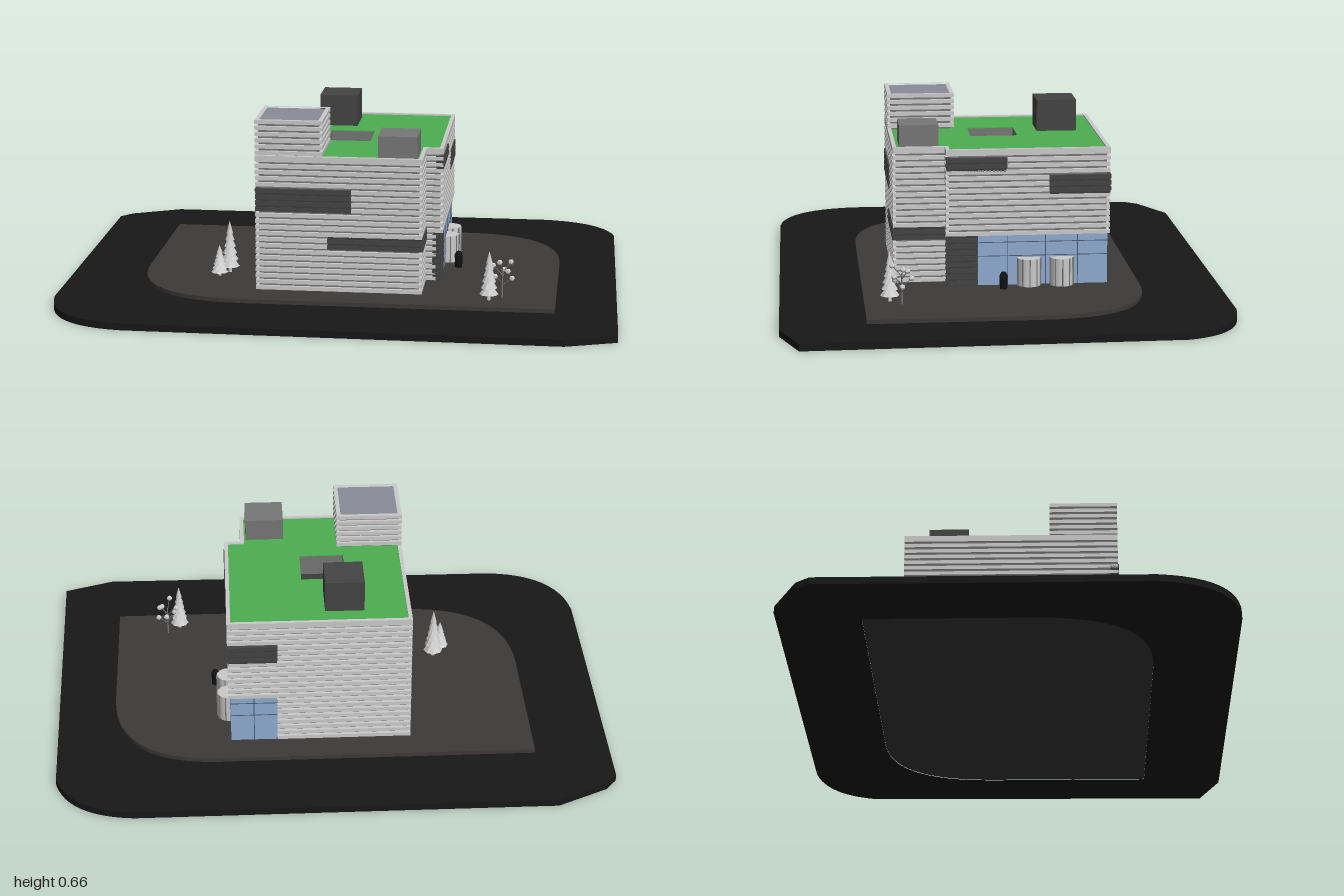
import * as THREE from 'three';

const mat = (color, opts = {}) => new THREE.MeshStandardMaterial({ color, ...opts });
const grey = mat(0xcccccc), core = mat(0x777777), dark = mat(0x3c3c3c), darker = mat(0x444444);
const mid = mat(0x777777), black = mat(0x111111), asphalt = mat(0x181818), paving = mat(0x3d3a39);
const grass = mat(0x4caf50), glass = mat(0x8fabd0), towerTop = mat(0x8a8d98), frame = mat(0x4a5a70);
const treeMat = mat(0xcccccc, { flatShading: true });

const BASE = 0.04, ROOF = 0.53, PITCH = 0.0223, SLAT = 0.0135;

export function createModel() {
  const model = new THREE.Group();

  const add = (name, geometry, material, parent = model) => {
    const mesh = new THREE.Mesh(geometry, material);
    mesh.name = name;
    parent.add(mesh);
    return mesh;
  };
  const group = (name) => {
    const g = new THREE.Group();
    g.name = name;
    model.add(g);
    return g;
  };
  // box given by its limits on each axis
  const box = (name, x0, x1, y0, y1, z0, z1, material, parent) => {
    const m = add(name, new THREE.BoxGeometry(x1 - x0, y1 - y0, z1 - z0), material, parent);
    m.position.set((x0 + x1) / 2, (y0 + y1) / 2, (z0 + z1) / 2);
    return m;
  };
  // ground-plan outline from [x, z] corners; a corner with four numbers is a curve [cx, cz, x, z]
  const trace = (path, pts) => {
    pts.forEach((p, i) => {
      if (i === 0) path.moveTo(p[0], -p[1]);
      else if (p.length === 4) path.quadraticCurveTo(p[0], -p[1], p[2], -p[3]);
      else path.lineTo(p[0], -p[1]);
    });
    path.closePath();
    return path;
  };
  const slab = (pts, y0, y1, holes = []) => {
    const shape = trace(new THREE.Shape(), pts);
    holes.forEach((h) => shape.holes.push(trace(new THREE.Path(), h)));
    return new THREE.ExtrudeGeometry(shape, { depth: y1 - y0, bevelEnabled: false, curveSegments: 12 })
      .rotateX(-Math.PI / 2).translate(0, y0, 0);
  };
  const rect = (x0, x1, z0, z1) => [[x0, z0], [x1, z0], [x1, z1], [x0, z1]];
  // building plan with the cut front corner, shrunk by d
  const plan = (d) => [
    [-0.29 + d, 0.375 - d], [0.305 - d, 0.375 - d], [0.305 - d, 0.19 - d],
    [0.365 - d, 0.19 - d], [0.365 - d, -0.395 + d], [-0.29 + d, -0.395 + d],
  ];

  // ground
  const walk = [[-0.73, -0.5], [0.4, -0.5], [0.78, -0.5, 0.78, -0.1], [0.78, 0.49],
    [-0.32, 0.49], [-0.73, 0.49, -0.73, 0.08]];
  const road = [[-1, -0.65], [-0.96, -0.7], [-0.78, -0.79], [0.7, -0.79], [0.93, -0.77, 0.98, -0.58],
    [1, 0.72], [0.82, 0.785], [-0.7, 0.775], [-0.97, 0.75, -1, 0.48]];
  add('road', slab(road, 0, 0.025, [walk]), asphalt);
  add('pavement', slab(walk, 0.002, BASE), paving);

  // main walls, with a sunken court in the roof
  const building = group('building');
  const court = rect(-0.07, 0.09, -0.09, 0.08);
  add('lowerWalls', slab(plan(0.012), BASE, 0.45), core, building);
  add('upperWalls', slab(plan(0.012), 0.45, ROOF - 0.003, [court]), core, building);
  add('grassRoof', slab(plan(0.013), ROOF - 0.003, ROOF, [court]), grass, building);
  box('courtFloor', -0.07, 0.09, 0.45, 0.452, -0.09, 0.08, dark, building);
  add('roofRim', slab(plan(0), ROOF - 0.008, ROOF + 0.005, [plan(0.014)]), grey, building);

  // cladding slats; the low ones leave the glazed corner free
  const lowPlan = [[-0.29, 0.375], [0.305, 0.375], [0.305, 0.19], [0.34, 0.19],
    [0.34, -0.37], [0.19, -0.37], [0.19, -0.395], [-0.29, -0.395]];
  const fullSlat = slab(plan(0), 0, SLAT, [plan(0.015)]);
  const lowSlat = slab(lowPlan, 0, SLAT);
  const slatY = (i) => BASE + 0.004 + i * PITCH;
  for (let i = 0; slatY(i) < ROOF - 0.015; i++) {
    const slat = add('slat', slatY(i) < 0.22 ? lowSlat : fullSlat, grey, building);
    slat.position.y = slatY(i);
  }

  // corner tower
  const tower = group('tower');
  const towerPlan = (d) => rect(-0.29 + d, -0.05 - d, 0.13 + d, 0.375 - d);
  add('towerCore', slab(towerPlan(0.012), ROOF, 0.655), core, tower);
  add('towerRoof', slab(towerPlan(0.012), 0.655, 0.659), towerTop, tower);
  const towerSlat = slab(towerPlan(0), 0, SLAT, [towerPlan(0.015)]);
  for (let i = 0; i < 6; i++) {
    add('towerSlat', towerSlat, grey, tower).position.y = ROOF + 0.008 + i * PITCH;
  }

  // roof houses
  box('backRoofHouse', -0.125, 0.015, ROOF, 0.645, -0.315, -0.17, darker);
  box('frontRoofHouse', 0.145, 0.285, ROOF, 0.61, 0.21, 0.35, mid);

  // dark louvred windows: a panel plus slightly proud slats
  const louvre = (x0, x1, y0, y1, z0, z1) => {
    const g = group('louvreWindow');
    box('panel', x0, x1, y0, y1, z0, z1, dark, g);
    for (let i = 0; slatY(i) < y1 - 0.005; i++) {
      if (slatY(i) < y0 - 0.006) continue;
      box('louvre', x0 - 0.003, x1 + 0.003, slatY(i) - 0.001, slatY(i) + SLAT + 0.001,
        z0 - 0.003, z1 + 0.003, darker, g);
    }
  };
  louvre(-0.287, 0.05, 0.335, 0.415, 0.35, 0.375);
  louvre(-0.03, 0.302, 0.205, 0.245, 0.35, 0.375);
  louvre(0.28, 0.305, 0.205, 0.245, 0.19, 0.372);
  louvre(0.34, 0.365, 0.455, 0.5, -0.025, 0.187);
  louvre(0.34, 0.365, 0.37, 0.43, -0.392, -0.18);
  louvre(0.19, 0.362, 0.37, 0.43, -0.395, -0.37);
  louvre(0.33, 0.358, BASE, 0.222, 0.08, 0.187);

  // glazed ground-floor corner with thin bars
  const glazing = group('glazing');
  box('sideGlass', 0.335, 0.357, BASE, 0.225, -0.387, 0.08, glass, glazing);
  box('backGlass', 0.19, 0.357, BASE, 0.225, -0.387, -0.36, glass, glazing);
  for (const z of [0.078, -0.03, -0.165, -0.28]) {
    box('sideBar', 0.355, 0.3585, BASE, 0.225, z - 0.0015, z + 0.0015, frame, glazing);
  }
  for (const y of [0.145, 0.195]) {
    box('sideRail', 0.355, 0.3585, y, y + 0.0025, -0.387, 0.08, frame, glazing);
    box('backRail', 0.19, 0.357, y, y + 0.0025, -0.3885, -0.385, frame, glazing);
  }
  box('backBar', 0.272, 0.275, BASE, 0.225, -0.3885, -0.385, frame, glazing);

  // rounded entrance porches with upright bars
  for (const z of [-0.105, -0.222]) {
    const porch = group('entrancePorch');
    porch.position.set(0.362, BASE, z);
    add('drum', new THREE.CylinderGeometry(0.043, 0.043, 0.1, 10), grey, porch).position.y = 0.05;
    for (let i = 0; i < 5; i++) {
      const a = (i - 2) * Math.PI / 5;
      const bar = add('bar', new THREE.BoxGeometry(0.004, 0.1, 0.004), mid, porch);
      bar.position.set(Math.cos(a) * 0.043, 0.05, Math.sin(a) * 0.043);
    }
  }

  // litter bin
  const bin = group('litterBin');
  bin.position.set(0.41, BASE, -0.01);
  add('binBody', new THREE.CylinderGeometry(0.015, 0.013, 0.045, 12), black, bin).position.y = 0.0225;
  add('binLid', new THREE.CylinderGeometry(0.008, 0.015, 0.012, 12), black, bin).position.y = 0.054;

  // conifers of stacked cones
  const conifer = (x, z, h, r) => {
    const g = group('conifer');
    g.position.set(x, BASE, z);
    add('trunk', new THREE.CylinderGeometry(r * 0.15, r * 0.2, h * 0.2, 6), treeMat, g).position.y = h * 0.1;
    for (let i = 0; i < 6; i++) {
      const s = 1 - i * 0.13;
      const tier = add('tier', new THREE.ConeGeometry(r * s, h * 0.25, 8), treeMat, g);
      tier.position.y = h * (0.245 + i * 0.126);
      tier.rotation.y = i * 0.4;
    }
  };
  conifer(-0.42, 0.15, 0.195, 0.036);
  conifer(-0.45, 0.2, 0.115, 0.032);
  conifer(0.545, 0.4, 0.18, 0.034);

  // small branching tree
  const tree = group('branchingTree');
  tree.position.set(0.59, BASE, 0.36);
  add('trunk', new THREE.CylinderGeometry(0.002, 0.004, 0.11, 6), mid, tree).position.y = 0.055;
  const up = new THREE.Vector3(0, 1, 0);
  for (let i = 0; i < 7; i++) {
    const a = i * 2.4, start = new THREE.Vector3(0, 0.045 + i * 0.009, 0);
    const tip = new THREE.Vector3(Math.cos(a) * 0.034, 0.07 + i * 0.011, Math.sin(a) * 0.034);
    const dir = tip.clone().sub(start);
    const branch = add('branch', new THREE.CylinderGeometry(0.001, 0.002, dir.length(), 5), mid, tree);
    branch.position.copy(start).lerp(tip, 0.5);
    branch.quaternion.setFromUnitVectors(up, dir.normalize());
    add('leafClump', new THREE.IcosahedronGeometry(0.011, 0), treeMat, tree).position.copy(tip);
  }

  return model;
}
